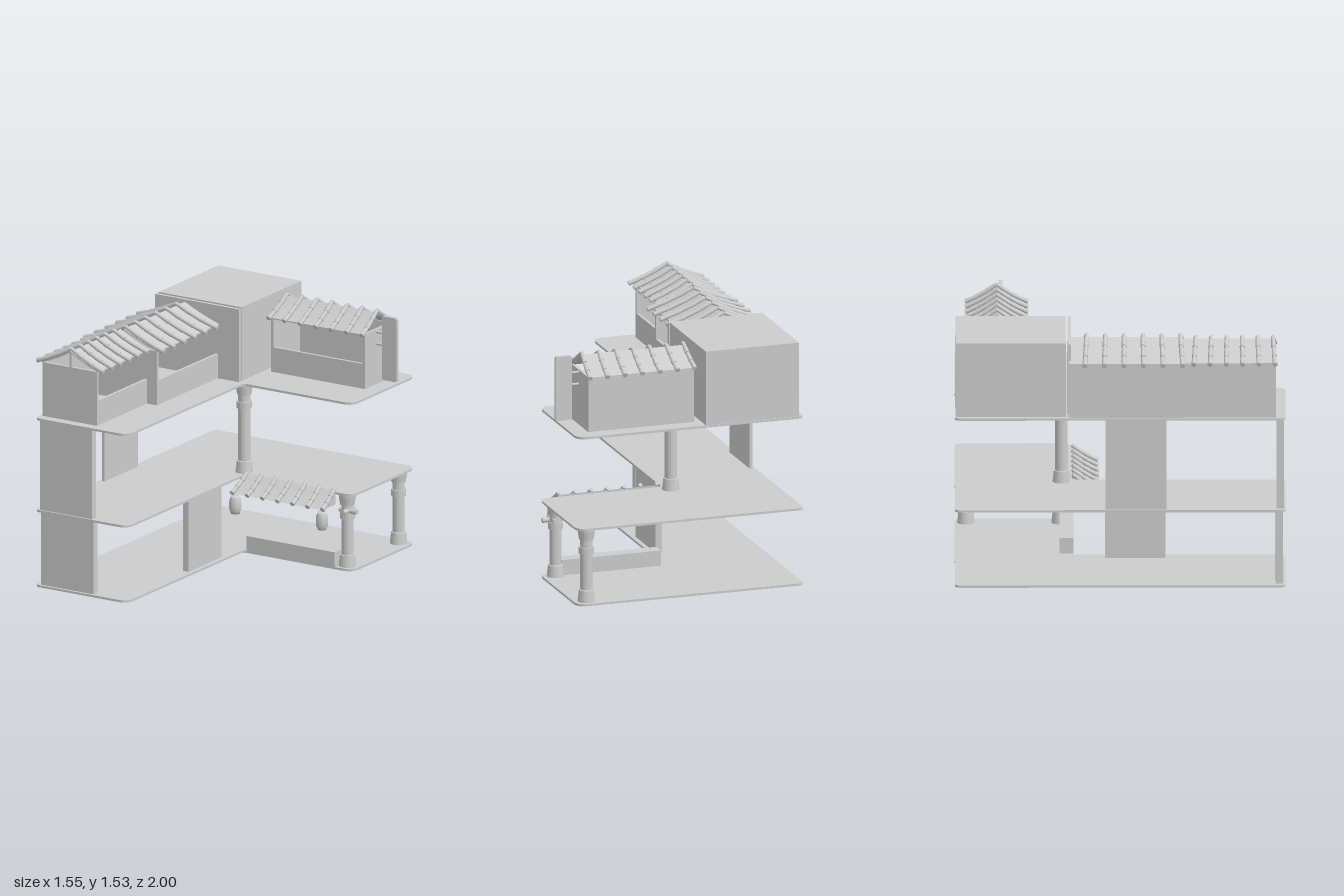
import * as THREE from 'three';

const mat = new THREE.MeshStandardMaterial({ color: 0xcccccc, side: THREE.DoubleSide });

export function createModel() {
  const root = new THREE.Group();

  const add = (name, geo, parent = root) => {
    const m = new THREE.Mesh(geo, mat);
    m.name = name;
    parent.add(m);
    return m;
  };
  // box given by its minimum and maximum on each axis
  const box = (name, x0, x1, y0, y1, z0, z1) =>
    add(name, new THREE.BoxGeometry(x1 - x0, y1 - y0, z1 - z0))
      .position.set((x0 + x1) / 2, (y0 + y1) / 2, (z0 + z1) / 2);
  // cylinder between two points
  const rod = (name, a, b, ra, rb, parent = root) => {
    const d = b.clone().sub(a);
    const m = add(name, new THREE.CylinderGeometry(rb, ra, d.length(), 10), parent);
    m.position.copy(a).add(b).multiplyScalar(0.5);
    m.quaternion.setFromUnitVectors(new THREE.Vector3(0, 1, 0), d.normalize());
  };
  const V = (x, y, z) => new THREE.Vector3(x, y, z);

  // polygon with rounded corners, each corner is [x, y, radius]
  const roundedShape = (corners) => {
    const s = new THREE.Shape();
    corners.forEach(([x, y, r], i) => {
      const n = corners.length;
      const c = new THREE.Vector2(x, y);
      const toward = (k) => {
        const p = corners[(k + n) % n];
        return new THREE.Vector2(p[0], p[1]).sub(c).normalize().multiplyScalar(r).add(c);
      };
      const a = toward(i - 1), b = toward(i + 1);
      if (i) s.lineTo(a.x, a.y); else s.moveTo(a.x, a.y);
      s.quadraticCurveTo(x, y, b.x, b.y);
    });
    s.closePath();
    return s;
  };

  // L-shaped floor slabs
  const floorShape = roundedShape([
    [-0.725, -1, 0.035], [-0.06, -1, 0.07], [-0.06, 0.29, 0.035],
    [0.725, 0.29, 0.07], [0.725, 1, 0.07], [-0.725, 1, 0.035],
  ]);
  for (const [name, y] of [['groundFloor', 0], ['middleFloor', 0.474], ['topFloor', 1.052]]) {
    const g = new THREE.ExtrudeGeometry(floorShape, { depth: 0.014, bevelEnabled: false, curveSegments: 8 });
    add(name, g.rotateX(-Math.PI / 2)).position.y = y;
  }

  // standing wall panels on the two lower storeys
  box('lowerEndWall', -0.69, -0.315, 0.014, 0.474, 0.94, 0.985);
  box('lowerInnerWall', -0.13, -0.088, 0.014, 0.474, -0.09, 0.275);
  box('middleEndWall', -0.695, -0.32, 0.488, 1.052, 0.945, 0.99);
  box('middleSideWall', -0.71, -0.69, 0.488, 1.052, -0.09, 0.28);

  // columns with flared base, collar and capital
  const column = (x, y0, y1, z) => {
    const h = y1 - y0;
    const profile = [
      [0, 0], [0.053, 0], [0.051, 0.02], [0.045, 0.072], [0.037, 0.074],
      [0.037, h - 0.16], [0.046, h - 0.16], [0.046, h - 0.118], [0.037, h - 0.118],
      [0.037, h - 0.075], [0.044, h - 0.073], [0.052, h - 0.02], [0.053, h], [0, h],
    ].map(([r, y]) => new THREE.Vector2(r, y));
    const g = new THREE.LatheGeometry(profile, 20).toNonIndexed();
    g.computeVertexNormals();
    add('column', g).position.set(x, y0, z);
  };
  column(0.645, 0.014, 0.474, -0.36);
  column(0.645, 0.014, 0.474, -0.93);
  column(-0.095, 0.488, 1.052, -0.355);

  // short pegs crossing the front column
  rod('columnPeg', V(0.60, 0.367, -0.345), V(0.725, 0.367, -0.345), 0.016, 0.016);
  rod('columnPeg', V(0.66, 0.367, -0.285), V(0.66, 0.367, -0.41), 0.016, 0.016);

  // ground floor counter
  box('counter', -0.03, 0.605, 0.014, 0.11, -0.365, -0.28);

  // hanging lanterns
  for (const x of [-0.035, 0.59]) {
    const profile = [[0, 0], [0.028, 0], [0.028, 0.01], [0.036, 0.02], [0.038, 0.05], [0.036, 0.085], [0.028, 0.098], [0.028, 0.11], [0, 0.11]]
      .map(([r, y]) => new THREE.Vector2(r, y));
    add('lantern', new THREE.LatheGeometry(profile, 16)).position.set(x, 0.283, -0.162);
  }

  // concave roof slope with a row of tile ribs; runs along local z, falls along local x
  const slope = (parent, side, run, rise, length, ribRun, ribStart, ribEnd, count, solid) => {
    const fall = (t) => rise * (1 - 1.25 * t + 0.25 * t * t);
    const steps = [0, 0.25, 0.5, 0.75, 1];
    const top = steps.map((t) => new THREE.Vector2(side * run * t, fall(t)));
    const under = solid ? [new THREE.Vector2(0, 0)] : top.map((p) => new THREE.Vector2(p.x, p.y - 0.008)).reverse();
    const g = new THREE.ExtrudeGeometry(new THREE.Shape([...top, ...under]), { depth: length, bevelEnabled: false });
    add('roofSlope', g.translate(0, 0, -length / 2), parent);
    for (let i = 0; i < count; i++) {
      const f = i / (count - 1);
      const z = ribStart + (ribEnd - ribStart) * f;
      const lean = 0.012 * (1 - 2 * f);
      const at = (t) => V(side * ribRun * t, fall(t * ribRun / run) + 0.012, z + lean * (0.5 - t));
      for (let k = 0; k < 3; k++) rod('tileRib', at((k + 1) / 3), at(Math.max(0, k / 3 - 0.02)), 0.0155, 0.012, parent);
    }
  };
  const roof = (name, x, y, z, turned) => {
    const g = new THREE.Group();
    g.name = name;
    g.position.set(x, y, z);
    if (turned) g.rotation.y = -Math.PI / 2;
    root.add(g);
    return g;
  };

  // roofs of the long wing, of the side house and the awning over the counter
  const rearRoof = roof('rearWingRoof', -0.485, 1.41, 0.035);
  const frontRoof = roof('frontWingRoof', -0.51, 1.41, 0.66);
  const houseRoof = roof('sideHouseRoof', 0.285, 1.41, -0.745, true);
  for (const s of [-1, 1]) {
    slope(rearRoof, s, 0.245, 0.1, 0.69, 0.288, -0.245, 0.335, 6);
    slope(frontRoof, s, 0.205, 0.095, 0.56, 0.24, -0.21, 0.27, 6);
    slope(houseRoof, s, 0.165, 0.1, 0.66, 0.19, -0.33, 0.33, 7);
  }
  slope(roof('awning', 0.285, 0.41, -0.288, true), 1, 0.142, 0.09, 0.64, 0.155, -0.32, 0.32, 7, true);

  // corner block with its front panel
  box('cornerBlock', -0.695, -0.098, 1.066, 1.53, -0.995, -0.33);
  box('cornerPanel', -0.70, -0.095, 1.066, 1.525, -0.318, -0.298);

  // long wing: outer wall, end walls and low parapets below the open windows
  box('wingOuterWall', -0.715, -0.695, 1.066, 1.41, -0.298, 0.38);
  box('wingOuterWall', -0.71, -0.69, 1.066, 1.405, 0.38, 0.94);
  box('wingEndWall', -0.69, -0.318, 1.066, 1.405, 0.922, 0.94);
  box('wingDividingWall', -0.695, -0.248, 1.066, 1.408, 0.362, 0.382);
  box('frontParapet', -0.336, -0.318, 1.066, 1.22, 0.382, 0.922);
  box('rearParapet', -0.266, -0.248, 1.066, 1.22, -0.298, 0.362);
  box('gablePost', -0.517, -0.503, 1.405, 1.5, 0.924, 0.938);

  // side house: back, side walls and low front wall
  box('houseBackWall', -0.055, 0.622, 1.066, 1.41, -0.90, -0.885);
  box('houseSideWall', -0.055, -0.037, 1.066, 1.41, -0.885, -0.59);
  box('houseSideWall', 0.604, 0.622, 1.066, 1.41, -0.885, -0.59);
  box('houseFrontWall', -0.037, 0.604, 1.066, 1.222, -0.608, -0.59);

  // hanging signboard on two rods
  const board = roundedShape([[0.668, 1.102, 0.015], [0.772, 1.102, 0.015], [0.772, 1.505, 0.015], [0.668, 1.505, 0.015]]);
  add('signboard', new THREE.ExtrudeGeometry(board, { depth: 0.024, bevelEnabled: false })).position.z = -0.732;
  for (const y of [1.32, 1.395]) rod('signRod', V(0.615, y, -0.72), V(0.675, y, -0.72), 0.008, 0.008);

  return root;
}
